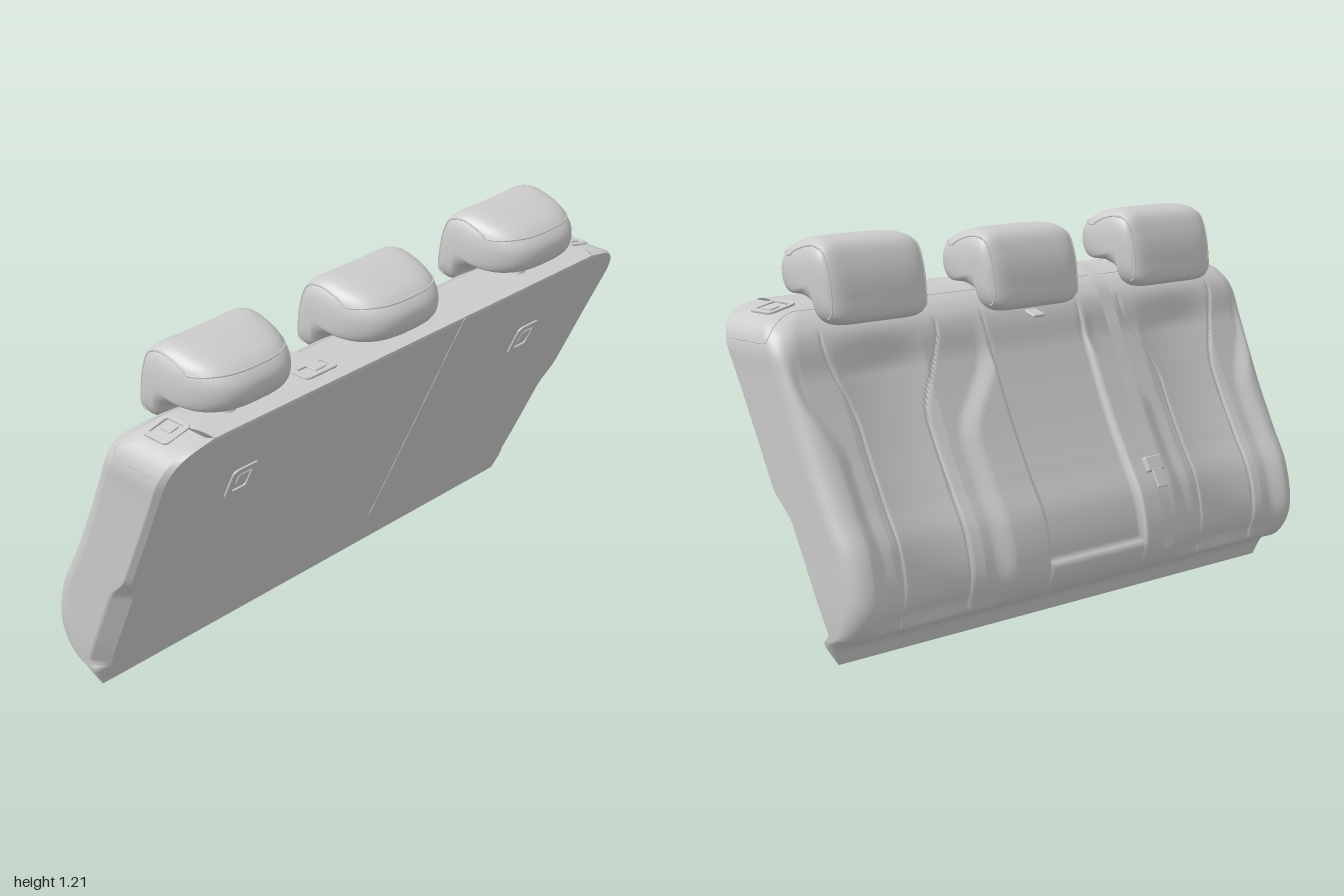
import * as THREE from 'three';
import { ParametricGeometry } from 'three/addons/geometries/ParametricGeometry.js';
import { RoundedBoxGeometry } from 'three/addons/geometries/RoundedBoxGeometry.js';

const mat = new THREE.MeshStandardMaterial({ color: 0xcccccc, roughness: 0.8, side: THREE.DoubleSide });
const mix = THREE.MathUtils.lerp;
const sm = (a, b, x) => THREE.MathUtils.smoothstep(x, a, b);
const V = (x, y, z) => new THREE.Vector3(x, y, z);
const TILT = 0.427;

function part(parent, name, geo, x = 0, y = 0, z = 0) {
  const m = new THREE.Mesh(geo, mat);
  m.name = name;
  m.position.set(x, y, z);
  parent.add(m);
  return m;
}

// Backrest outline going up: front x, height y, half width
const outline = new THREE.CatmullRomCurve3([
  [-0.155, 0, 0.92], [-0.185, 0.06, 0.955], [-0.265, 0.095, 0.962], [-0.308, 0.18, 0.97],
  [-0.285, 0.33, 0.975], [-0.222, 0.45, 0.98], [-0.155, 0.58, 0.985], [-0.092, 0.72, 0.99],
  [-0.05, 0.82, 0.995], [-0.013, 0.9, 0.998], [0.015, 0.945, 0.985], [0.045, 0.975, 0.96],
  [0.08, 0.995, 0.92], [0.13, 1.01, 0.85],
].map(p => V(...p)), false, 'centripetal');
const backX = y => Math.min(0.305, -0.15 + 0.455 * y);
const chamfer = y => mix(0.045, 0.015, sm(0.4, 0.5, y));

// Cushion relief: bolsters, seat hollows, centre panel and stitched seams
function inset(z, y) {
  const a = Math.abs(z), up = sm(0.58, 0.84, y);
  const e1 = mix(0.4, 0.23, up), e2 = mix(0.87, 0.98, up);
  let d = 0.024 * sm(e1 - 0.05, e1 + 0.03, a) * (1 - sm(e2 - 0.03, e2 + 0.04, a));
  d += 0.02 * Math.max(0, 1 - ((a - 0.635) / 0.17) ** 2);
  d += 0.02 * (1 - sm(0.195, 0.215, a)) * sm(0.185, 0.205, y);
  const fade = sm(0.06, 0.14, y) * (1 - sm(0.8, 0.95, y));
  const seam = v => 0.006 * Math.exp(-((v / 0.006) ** 2));
  const seams = seam(a - mix(0.51, 0.4, sm(0.65, 0.92, y))) + seam(a - mix(0.77, 0.84, sm(0.65, 0.92, y)))
    + seam(a - 0.208) + (a < 0.2 ? seam(y - 0.195) : 0);
  return d * fade + seams * sm(0.06, 0.1, y) * (1 - sm(0.9, 0.96, y));
}

// A point on the upholstered front and sides, s from -1 to 1 across the width
const FRONT = 0.92;
function shell(s, v, out) {
  const p = outline.getPoint(Math.min(1, Math.max(0, v)));
  const y = p.y, W = p.z, xb = Math.max(backX(y), p.x), r = Math.min(0.07, (xb - p.x) * 0.6);
  const sign = s < 0 ? -1 : 1, q = Math.abs(s);
  if (q <= FRONT) {
    const k = q / FRONT, z = W * (1.5 * k - 0.5 * k ** 3);
    const d = Math.max(0, z - (W - r));
    const drop = r - Math.sqrt(Math.max(0, r * r - d * d));
    return out.set(Math.min(xb, p.x + drop + inset(z, y) * (1 - sm(W - 0.06, W, z))), y, sign * z);
  }
  const k = (q - FRONT) / (1 - FRONT), c = chamfer(y), cx = Math.min(c * 1.3, (xb - p.x - r) * 0.6);
  if (k < 0.7) return out.set(mix(p.x + r, xb - cx, k / 0.7), y, sign * W);
  const j = (k - 0.7) / 0.3;
  return out.set(mix(xb - cx, xb, j), y, sign * (W - c * j));
}

function buildBackrest(g) {
  part(g, 'upholstery', new ParametricGeometry((u, v, t) => shell(2 * u - 1, v, t), 400, 100));
  part(g, 'backPanel', new ParametricGeometry((u, v, t) => {
    const p = outline.getPoint(v);
    t.set(Math.max(backX(p.y), p.x), p.y, (p.z - chamfer(p.y)) * (1 - 2 * u));
  }, 4, 60));
  part(g, 'topTrim', new ParametricGeometry((u, v, t) => {
    shell((2 * u - 1) * FRONT, 1, t);
    const W = outline.getPoint(1).z;
    t.set(mix(t.x, backX(1.01), v), 1.01 + 0.006 * Math.sin(Math.PI * v), t.z * mix(1, (W - 0.015) / W, v));
  }, 60, 6));
  // Seam where the cover meets the top trim, dropping down at both ends
  const pts = [];
  for (let i = 0; i <= 120; i++) {
    const s = -0.97 + 1.94 * i / 120;
    pts.push(shell(s, mix(0.93, 0.72, sm(0.74, 0.92, Math.abs(s))), V(0, 0, 0)));
  }
  part(g, 'trimSeam', new THREE.TubeGeometry(new THREE.CatmullRomCurve3(pts), 240, 0.002, 5));
  // Split between the two folding sections
  const split = part(g, 'splitLine', new THREE.BoxGeometry(0.004, 0.96, 0.006), backX(0.57), 0.57, -0.205);
  split.rotation.z = -TILT;
}

// Headrest side profile, lofted across z with rounded ends
const profile = new THREE.CatmullRomCurve3([
  [-0.035, 0.968], [0.02, 0.952], [0.065, 0.962], [0.095, 1.005], [0.16, 1.03], [0.265, 1.037], [0.297, 1.07],
  [0.3, 1.12], [0.26, 1.165], [0.18, 1.195], [0.09, 1.206], [0.025, 1.187], [-0.014, 1.125], [-0.035, 1.04],
].map(p => V(p[0], p[1], 0)), true, 'centripetal');
function headrestPoint(u, t, out, grow = 0) {
  const p = profile.getPoint(((u % 1) + 1) % 1), a = Math.abs(t);
  const s = Math.max(0, 1 - a ** 8) ** 0.35 + grow;
  const taper = 1 - 0.32 * a ** 3;
  const x = 0.1 + (p.x - 0.1) * s;
  return out.set(-0.035 + (x + 0.035) * (x > -0.035 ? taper : 1), 1.08 + (p.y - 1.08) * s, 0.2 * t);
}
function buildHeadrest(g, name, z, dx, dy) {
  const h = new THREE.Group();
  h.name = name;
  h.position.set(dx, dy, z);
  part(h, 'cushion', new ParametricGeometry((u, v, t) =>
    headrestPoint(u, Math.sin((v - 0.5) * Math.PI * 0.9999), t), 72, 56));
  // Piping up each side of the face, over the top and across the rear
  const pts = [];
  const add = (u, t) => pts.push(headrestPoint(u, t, V(0, 0, 0), 0.006));
  for (let i = 0; i <= 28; i++) add(1.04 - 0.47 * i / 28, -0.9);
  for (let i = 1; i < 24; i++) add(0.55, 0.86 * (i / 12 - 1));
  for (let i = 0; i <= 28; i++) add(0.57 + 0.47 * i / 28, 0.9);
  part(h, 'piping', new THREE.TubeGeometry(new THREE.CatmullRomCurve3(pts), 160, 0.003, 6));
  for (const side of [-1, 1]) {
    part(h, 'post', new THREE.CylinderGeometry(0.011, 0.011, 0.08, 16), 0.21 - dx, 1.02 - dy, side * 0.068);
    part(h, 'postCollar', new THREE.CylinderGeometry(0.026, 0.03, 0.012, 24), 0.21 - dx, 1.018 - dy, side * 0.068);
  }
  g.add(h);
}

// Rounded rectangular bezel facing +z
function roundRect(S, w, h, r) {
  const x = w / 2, y = h / 2;
  S.moveTo(-x + r, -y).lineTo(x - r, -y).quadraticCurveTo(x, -y, x, -y + r).lineTo(x, y - r)
    .quadraticCurveTo(x, y, x - r, y).lineTo(-x + r, y).quadraticCurveTo(-x, y, -x, y - r)
    .lineTo(-x, -y + r).quadraticCurveTo(-x, -y, -x + r, -y);
  return S;
}
function bezel(w, h, wall) {
  const s = roundRect(new THREE.Shape(), w, h, 0.02);
  s.holes.push(roundRect(new THREE.Path(), w - 2 * wall, h - 2 * wall, 0.01));
  return new THREE.ExtrudeGeometry(s, { depth: 0.004, bevelEnabled: true, bevelSize: 0.002, bevelThickness: 0.002, bevelSegments: 2, curveSegments: 6 });
}
function buildFitting(g, name, w, h, wall, pos) {
  const f = new THREE.Group();
  f.name = name;
  f.position.copy(pos);
  part(f, 'bezel', bezel(w, h, wall));
  part(f, 'lever', new RoundedBoxGeometry(w * 0.45, h * 0.36, 0.01, 2, 0.003), 0, h * 0.1, 0.001);
  g.add(f);
  return f;
}

// Flat webbing along a path, width along z
function strap(g, name, points, width) {
  const c = new THREE.CatmullRomCurve3(points.map(p => V(...p)));
  part(g, name, new ParametricGeometry((u, v, t) => {
    c.getPoint(Math.min(1, Math.max(0, v)), t);
    t.z += (0.5 - u) * width;
  }, 2, 48));
}

export function createModel() {
  const g = new THREE.Group();
  g.name = 'rearSeatBack';
  buildBackrest(g);
  buildHeadrest(g, 'rightHeadrest', -0.635, 0, 0);
  buildHeadrest(g, 'centreHeadrest', -0.005, -0.01, -0.018);
  buildHeadrest(g, 'leftHeadrest', 0.635, 0, 0);

  for (const side of [-1, 1]) {
    const handle = buildFitting(g, 'backHandle', 0.1, 0.12, 0.02, V(backX(0.75), 0.75, side * 0.635));
    handle.rotation.set(0, Math.PI / 2, -TILT, 'ZYX');
    // Fold release lying on the sloping shoulder
    const release = buildFitting(g, 'foldRelease', 0.1, 0.1, 0.012, V(0.165, 1.002, side * 0.885));
    release.rotation.x = -Math.PI / 2 + side * 0.22;
  }

  // Centre seat belt with guide and buckle
  buildFitting(g, 'beltGuide', 0.075, 0.13, 0.014, V(0.22, 1.016, 0.36)).rotation.x = -Math.PI / 2;
  strap(g, 'beltStrap', [[0.22, 1.03, 0.36], [0.12, 1.024, 0.355], [0.03, 0.975, 0.345], [-0.025, 0.88, 0.335],
    [-0.105, 0.71, 0.325], [-0.18, 0.56, 0.31], [-0.255, 0.42, 0.3]], 0.055);
  strap(g, 'beltTail', [[-0.24, 0.43, 0.3], [-0.28, 0.36, 0.305], [-0.306, 0.25, 0.31], [-0.312, 0.16, 0.31]], 0.045);
  const buckle = part(g, 'beltBuckle', new RoundedBoxGeometry(0.02, 0.05, 0.075, 2, 0.006), -0.25, 0.425, 0.3);
  buckle.rotation.z = -0.5;
  const tongue = part(g, 'beltTongue', new RoundedBoxGeometry(0.008, 0.065, 0.045, 2, 0.003), -0.28, 0.385, 0.3);
  tongue.rotation.z = -0.5;

  // Pull loop at the top of the centre panel
  const loop = part(g, 'pullLoop', new RoundedBoxGeometry(0.06, 0.01, 0.05, 2, 0.004), -0.01, 0.918, 0);
  loop.rotation.z = 0.3;
  return g;
}
